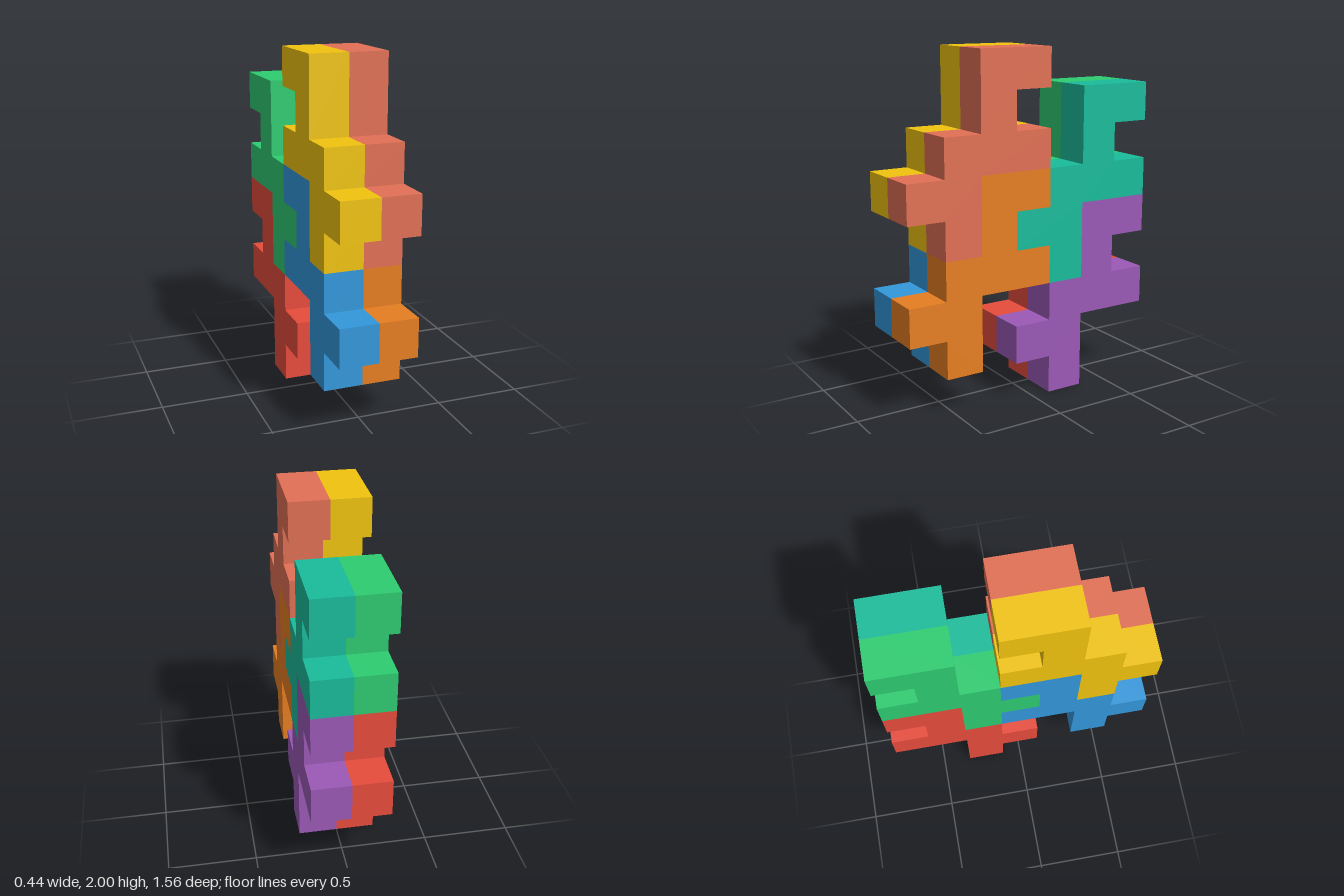
import * as THREE from 'three';

const U = 2 / 9; // one cell of the puzzle

// Outline of one interlocking piece: [cells back from the front, cells up]
const OUTLINE = [
  [1, 4], [2, 4], [2, 6], [4, 6], [4, 7], [3, 7], [3, 8], [4, 8],
  [4, 9], [2, 9], [2, 7], [1, 7], [1, 6], [0, 6], [0, 5], [1, 5],
];

// Each slot holds a left (+x) and a right (-x) piece of the same shape
const SLOTS = [
  { name: 'upperFront', back: 0, down: 0, left: 0xe17055, right: 0xf1c40f },
  { name: 'lowerFront', back: 0, down: 3, left: 0xe67e22, right: 0x3498db },
  { name: 'upperBack', back: 3, down: 1, left: 0x1abc9c, right: 0x2ecc71 },
  { name: 'lowerBack', back: 3, down: 4, left: 0x9b59b6, right: 0xe74c3c },
];

function pieceGeometry() {
  const shape = new THREE.Shape(OUTLINE.map(([c, r]) => new THREE.Vector2((c - 3.5) * U, r * U)));
  const geometry = new THREE.ExtrudeGeometry(shape, { depth: U, bevelEnabled: false });
  return geometry.rotateY(Math.PI / 2); // thickness along x, outline running front to back
}

export function createModel() {
  const model = new THREE.Group();
  model.name = 'interlockingPuzzle';
  const geometry = pieceGeometry();

  for (const slot of SLOTS) {
    for (const side of ['left', 'right']) {
      const piece = new THREE.Mesh(geometry, new THREE.MeshStandardMaterial({ color: slot[side] }));
      piece.name = `${slot.name}${side === 'left' ? 'Left' : 'Right'}Piece`;
      piece.position.set(side === 'left' ? 0 : -U, -slot.down * U, -slot.back * U);
      model.add(piece);
    }
  }
  return model;
}
